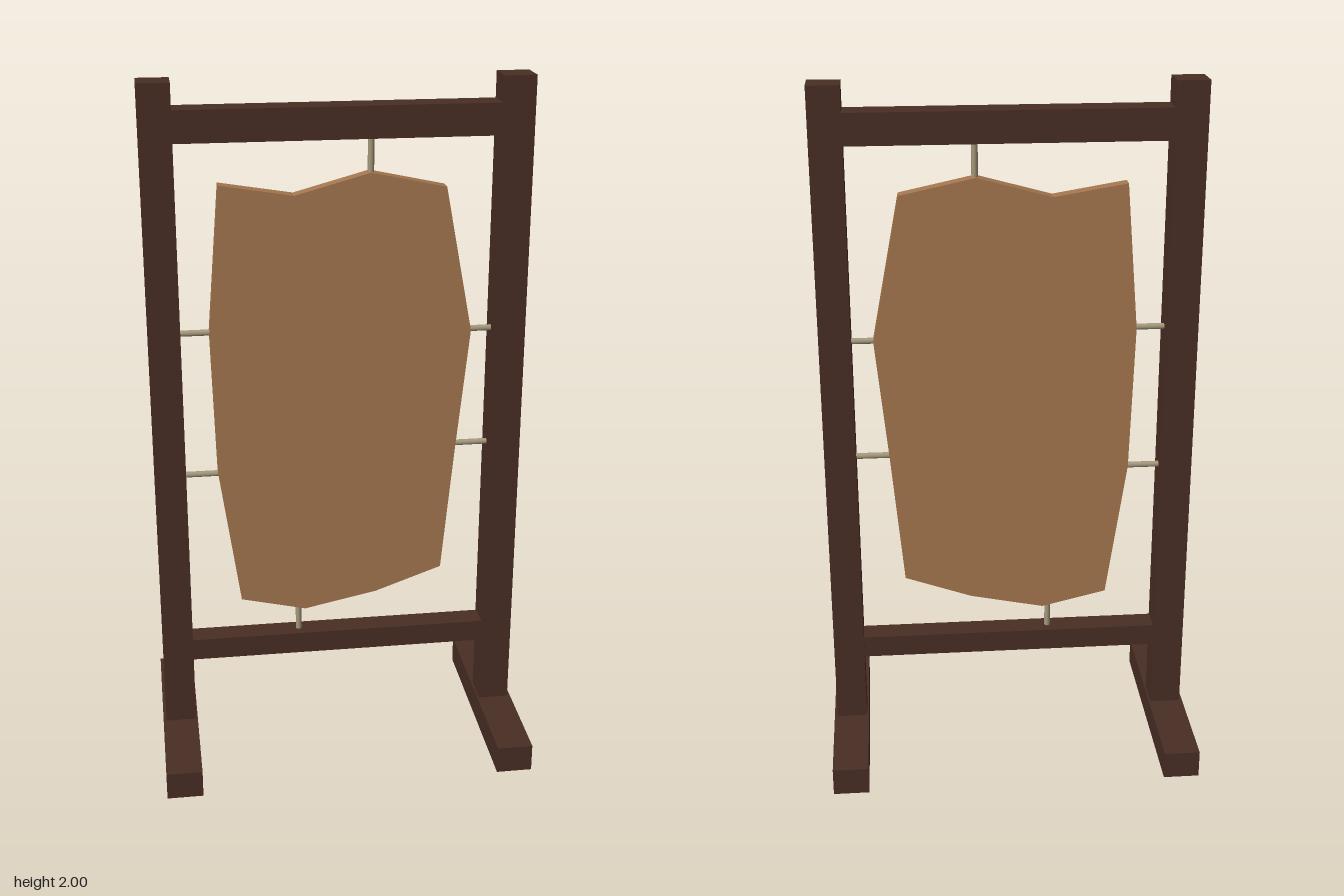
import * as THREE from 'three';

export function createModel() {
  const group = new THREE.Group();
  const material = (name, color) => {
    const m = new THREE.MeshStandardMaterial({ color });
    m.name = name;
    return m;
  };
  const wood = material('dark wood', 0x482e24);
  const hide = material('tanned hide', 0xa67750);
  const cord = material('cord', 0xa6997c);

  const add = (name, geometry, mat) => {
    const mesh = new THREE.Mesh(geometry, mat);
    mesh.name = name;
    group.add(mesh);
    return mesh;
  };
  const box = (name, w, h, d, x, y) =>
    add(name, new THREE.BoxGeometry(w, h, d), wood).position.set(x, y, 0);

  // Posts and feet
  for (const [side, s] of [['left', 1], ['right', -1]]) {
    box(side + 'Post', 0.09, 2, 0.09, s * 0.486, 1);
    box(side + 'Foot', 0.104, 0.082, 0.65, s * 0.488, 0.041);
  }

  // Cross beams between the posts
  box('topBeam', 0.9, 0.088, 0.08, 0, 1.884);
  box('bottomBeam', 0.9, 0.066, 0.07, 0, 0.317);

  // Stretched hide with an irregular outline
  const outline = [
    [-0.325, 1.722], [-0.36, 1.305], [-0.348, 0.88], [-0.29, 0.47],
    [-0.1, 0.425], [0.115, 0.47], [0.31, 0.54], [0.345, 0.93],
    [0.38, 1.285], [0.3, 1.7], [0.09, 1.745], [-0.12, 1.688],
  ].map(([x, y]) => new THREE.Vector2(x, y));
  const depth = 0.04;
  const panel = new THREE.ExtrudeGeometry(new THREE.Shape(outline), { depth, bevelEnabled: false });
  add('hidePanel', panel.translate(0, 0, -depth / 2), hide);

  // Cords tying the hide to the frame: [x1, y1, x2, y2]
  const cords = [
    [0.092, 1.73, 0.092, 1.85], [-0.118, 0.34, -0.118, 0.44],
    [-0.45, 1.305, -0.35, 1.305], [-0.45, 0.877, -0.34, 0.877],
    [0.37, 1.285, 0.45, 1.285], [0.335, 0.934, 0.45, 0.934],
  ];
  cords.forEach(([x1, y1, x2, y2], i) => {
    const length = Math.hypot(x2 - x1, y2 - y1);
    const tie = add('cord' + (i + 1), new THREE.CylinderGeometry(0.009, 0.009, length, 8), cord);
    tie.position.set((x1 + x2) / 2, (y1 + y2) / 2, 0);
    if (y1 === y2) tie.rotation.z = Math.PI / 2;
  });

  return group;
}
